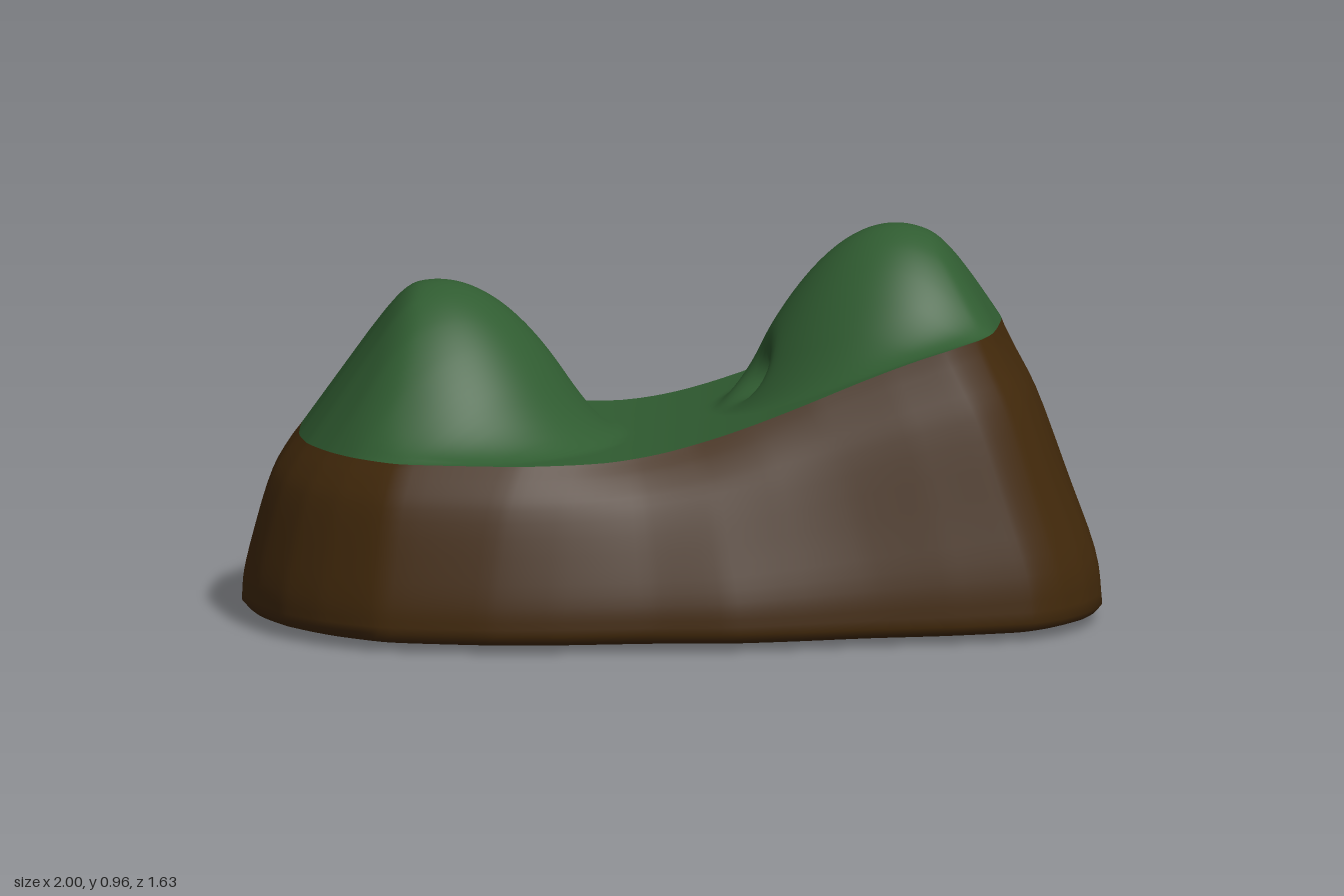
import * as THREE from 'three';

const SEG = 180;

// Ground outline and matching grass edge, as x, z pairs
const FOOT = [
  .32, -.82, .46, -.79, .63, -.71, .82, -.61, .91, -.49, .98, -.36, 1, -.25, .99, -.14, .95, -.05, .81, .08,
  .65, .2, .5, .33, .37, .43, .2, .52, 0, .65, -.15, .73, -.4, .81, -.57, .79, -.7, .74, -.82, .65,
  -.92, .53, -1, .33, -.98, .11, -.9, -.03, -.78, -.18, -.65, -.33, -.5, -.46, -.3, -.6, -.1, -.7, .16, -.81];
const RIM = [
  .3, -.615, .43, -.6, .53, -.56, .63, -.48, .69, -.39, .74, -.27, .765, -.19, .765, -.12, .72, -.03, .61, .06,
  .46, .16, .33, .23, .2, .3, .08, .39, -.02, .5, -.14, .59, -.4, .685, -.54, .66, -.64, .61, -.74, .53,
  -.82, .42, -.9, .24, -.9, .13, -.83, 0, -.72, -.14, -.58, -.23, -.42, -.3, -.24, -.4, -.06, -.5, .16, -.6];

function outline(flat) {
  const pts = [];
  for (let i = 0; i < flat.length; i += 2) pts.push(new THREE.Vector3(flat[i], 0, flat[i + 1]));
  const curve = new THREE.CatmullRomCurve3(pts, true, 'catmullrom', .3);
  return Array.from({ length: SEG }, (_, i) => curve.getPoint(i / SEG));
}

function smoothMax(a, b, k) {
  const h = Math.max(k - Math.abs(a - b), 0) / k;
  return Math.max(a, b) + h * h * k / 4;
}

// Ground rises along the long axis
function ground(x, z) {
  return .445 + .285 * THREE.MathUtils.smoothstep(.9 * x - .45 * z, -.19, .87);
}

// Ground with two rounded hills, whose slopes start at the rim (s = 1)
function terrain(x, z, s) {
  const g = ground(x, z);
  const low = .825 - 2.4 * (x + .52) ** 2 - 2.5 * (z - .26) ** 2;
  const high = .96 - 2.6 * (x - .46) ** 2 - 3.4 * (z + .28) ** 2;
  const rise = smoothMax(smoothMax(g, low, .15), high, .1) - g;
  return g + Math.max(0, -smoothMax(-rise, -1.3 * (1 - s), .04));
}

// Smooth closed surface through stacked rings of points
function loft(name, rings, color) {
  const pos = [], idx = [];
  rings.forEach(r => r.forEach(p => pos.push(p.x, p.y, p.z)));
  for (let j = 0; j < rings.length - 1; j++) {
    for (let i = 0; i < SEG; i++) {
      const n = (i + 1) % SEG;
      const a = j * SEG + i, b = j * SEG + n, c = a + SEG, d = b + SEG;
      idx.push(a, c, b, b, c, d);
    }
  }
  const g = new THREE.BufferGeometry();
  g.setAttribute('position', new THREE.Float32BufferAttribute(pos, 3));
  g.setIndex(idx);
  g.computeVertexNormals();
  const mesh = new THREE.Mesh(g, new THREE.MeshStandardMaterial({ color }));
  mesh.name = name;
  return mesh;
}

export function createModel() {
  const group = new THREE.Group();
  group.name = 'twinHills';
  const foot = outline(FOOT);
  const rim = outline(RIM);
  rim.forEach(p => { p.y = ground(p.x, p.z); });

  // Earth base: flat underside, rounded bottom edge, then walls leaning in to the rim
  const under = [[0, 0], [.5, .004], [.9, .015], [.96, .02], [.985, .027]].map(([s, y]) =>
    foot.map(p => new THREE.Vector3(p.x * s, y, p.z * s)));
  const lean = new THREE.CatmullRomCurve3([[0, 0], [.03, .15], [.2, .4], [.5, .74], [.75, .89], [1, 1]]
    .map(([s, t]) => new THREE.Vector3(s, t, 0)));
  const walls = lean.getPoints(18).map(({ x: s, y: t }) => foot.map((p, i) => {
    // The taller walls are straighter
    const inset = s + 2 * (rim[i].y - .45) * s * (1 - s);
    return new THREE.Vector3().lerpVectors(p, rim[i], inset).setY(THREE.MathUtils.lerp(.045, rim[i].y, t));
  }));
  group.add(loft('earthBase', [...under, ...walls], 0x42290b));

  // Grass cover, with a small hollow pressed into the foot of the higher hill
  const hollow = new THREE.Vector3(.15, .59, -.1);
  const inward = new THREE.Vector3(.09, -.02, -.045);
  const rings = 70;
  const grass = Array.from({ length: rings + 1 }, (_, j) => rim.map(p => {
    const s = 1 - j / rings;
    const v = new THREE.Vector3(p.x * s, terrain(p.x * s, p.z * s, s), p.z * s);
    return v.addScaledVector(inward, Math.exp(-v.distanceToSquared(hollow) / .0035));
  }));
  group.add(loft('grassHills', grass, 0x305c31));
  return group;
}
